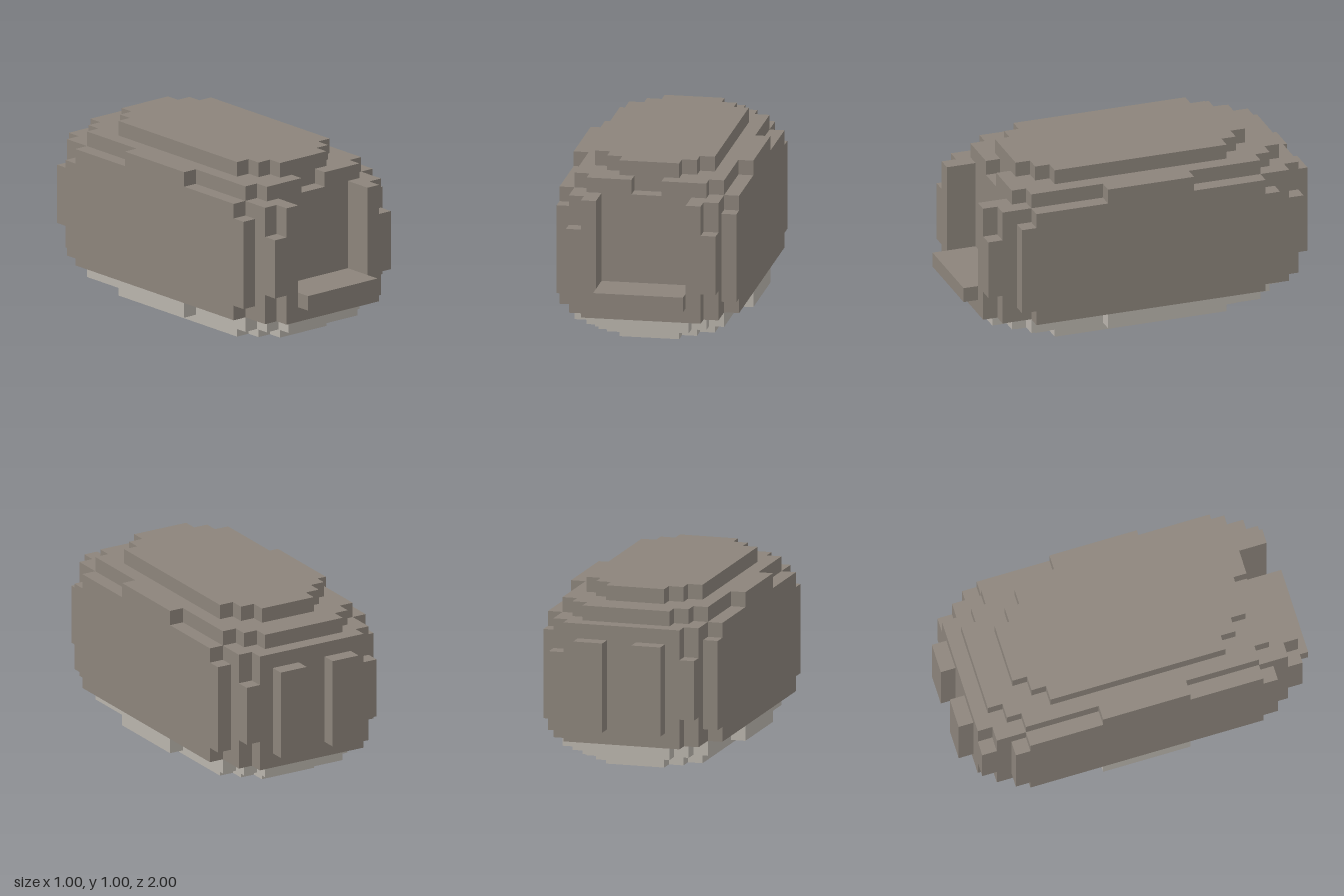
import * as THREE from 'three';

const U = 1 / 12; // one block

// Stepped plan outline. Each step [x, z] is a block corner of half the end,
// listed from the outer side inwards; both ends are mirrored in x.
function steppedPlan(front, back) {
  const half = (steps) => steps.flatMap(([x, z], i) =>
    i + 1 < steps.length ? [[x, z], [steps[i + 1][0], z]] : [[x, z]]);
  const f = half(front);
  const b = half(back).map(([x, z]) => [x, -z]);
  const flip = (pts) => pts.map(([x, z]) => [-x, z]);
  const loop = [...f, ...flip(f).reverse(), ...flip(b), ...b.slice().reverse()];
  return new THREE.Shape(loop.map(([x, z]) => new THREE.Vector2(x * U, -z * U)));
}

export function createModel() {
  const model = new THREE.Group();
  const stone = new THREE.MeshStandardMaterial({ color: 0x8c847b });
  stone.name = 'warm grey';
  const pale = new THREE.MeshStandardMaterial({ color: 0xb9b4ac });
  pale.name = 'pale grey';

  // Slab from y0 to y1 with a stepped outline
  function layer(name, material, y0, y1, front, back = front) {
    const geometry = new THREE.ExtrudeGeometry(steppedPlan(front, back), {
      depth: (y1 - y0) * U, bevelEnabled: false,
    });
    geometry.rotateX(-Math.PI / 2);
    geometry.translate(0, y0 * U, 0);
    const mesh = new THREE.Mesh(geometry, material);
    mesh.name = name;
    model.add(mesh);
  }

  function box(name, x0, x1, y0, y1, z0, z1) {
    const mesh = new THREE.Mesh(
      new THREE.BoxGeometry((x1 - x0) * U, (y1 - y0) * U, (z1 - z0) * U), stone);
    mesh.position.set((x0 + x1) / 2 * U, (y0 + y1) / 2 * U, (z0 + z1) / 2 * U);
    mesh.name = name;
    model.add(mesh);
  }

  const cap = [[4, 6], [3, 7], [2, 8]];
  const shoulder = [[6, 3], [5, 8], [4, 9], [3, 10]];
  const edge = [[6, 8], [5, 10], [4, 11]];
  const inner = [[6, 9], [5, 10], [4, 11]];
  const middle = [[6, 9], [5, 11]];
  const recess = [3, 9]; // front opening

  // Pale underside
  layer('bottomCap', pale, 0, 1, cap);
  layer('bottomShoulder', pale, 1, 2, shoulder);

  // Body bands
  layer('lowerEdge', stone, 2, 3, edge);
  layer('lowerBody', stone, 3, 4, [...inner, recess], inner);
  layer('middleBody', stone, 4, 8, [...middle, recess], middle);
  layer('upperBody', stone, 8, 9, [...inner, recess], inner);
  layer('upperEdge', stone, 9, 10, [...edge, recess], edge);

  // Top, notched above the front opening
  layer('topShoulder', stone, 10, 11, [[6, 3], [5, 8], [4, 9], [1, 8]], shoulder);
  layer('topCap', stone, 11, 12, cap);

  // Front tray and rear ribs
  box('frontTray', -3, 3, 3, 4, 9, 12);
  box('leftRearRib', 1, 3, 3, 9, -12, -11);
  box('rightRearRib', -3, -1, 3, 9, -12, -11);

  return model;
}
